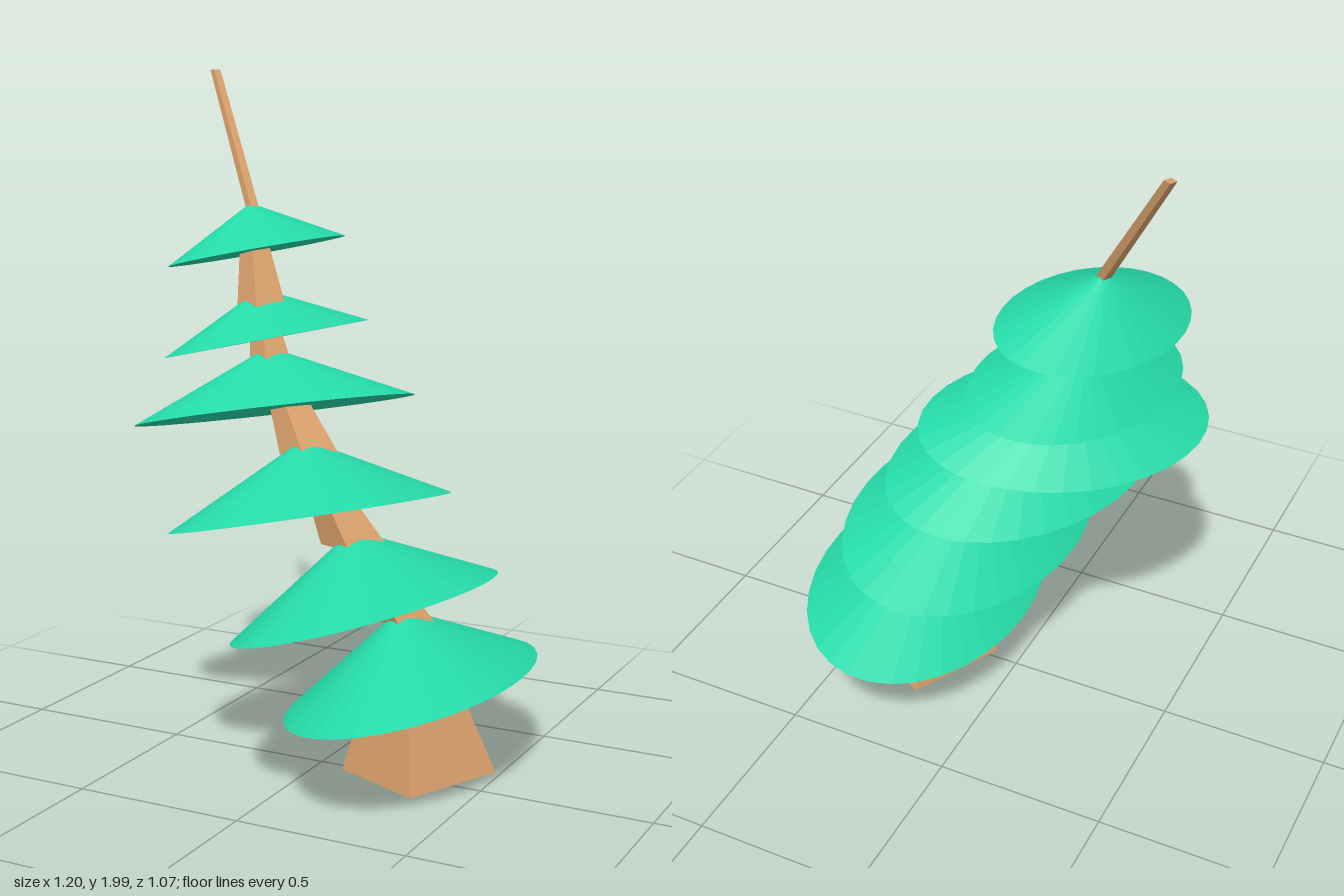
import * as THREE from 'three';

const vec = (a) => new THREE.Vector3(...a);

// Maps a unit-height geometry standing on y = 0 onto a slanted frame
function place(geometry, origin, u, axis, v) {
  geometry.translate(0, 0.5, 0);
  const m = new THREE.Matrix4().makeBasis(vec(u), axis, vec(v)).setPosition(origin);
  return geometry.applyMatrix4(m);
}

export function createModel() {
  const tree = new THREE.Group();
  tree.name = 'leaningTree';
  const wood = new THREE.MeshStandardMaterial({ color: 0xd9a06b, flatShading: true });
  const leaf = new THREE.MeshStandardMaterial({ color: 0x25d9a8, flatShading: true });

  const add = (name, geometry, material) => {
    const mesh = new THREE.Mesh(geometry, material);
    mesh.name = name;
    tree.add(mesh);
  };

  // Trunk: leaning square frustums [name, bottom centre, bottom width, top centre, top width]
  const trunk = [
    ['trunkBase', [0.29, 0.012, -0.042], 0.312, [0.262, 0.47, -0.03], 0.08],
    ['trunkSection', [0.25, 0.46, -0.02], 0.12, [0.125, 0.69, 0.035], 0.06],
    ['trunkSection', [0.12, 0.68, 0.04], 0.13, [-0.035, 0.935, 0.03], 0.05],
    ['trunkSection', [-0.03, 0.92, 0.02], 0.12, [-0.215, 1.17, -0.095], 0.05],
    ['trunkSection', [-0.215, 1.16, -0.09], 0.085, [-0.285, 1.335, -0.152], 0.045],
    ['trunkSection', [-0.265, 1.32, -0.125], 0.1, [-0.355, 1.58, -0.225], 0.04],
    ['topStick', [-0.345, 1.58, -0.225], 0.028, [-0.59, 1.998, -0.425], 0.022],
  ];
  for (const [name, bottom, wBottom, top, wTop] of trunk) {
    const geo = new THREE.CylinderGeometry(wTop * Math.SQRT1_2, wBottom * Math.SQRT1_2, 1, 4, 1, false, 0.325);
    const axis = vec(top).sub(vec(bottom));
    add(name, place(geo, vec(bottom), [1, 0.04, 0], axis, [0, 0, 1]), wood);
  }

  // Foliage: oval tilted cones [base centre, tip, cross radius, long radius]
  const foliage = [
    [[0.283, 0.277, -0.02], [0.25, 0.5, 0], [0.317, 0.057, 0], [0, 0, 0.513]],
    [[0.168, 0.507, 0.042], [0.118, 0.722, 0.045], [0.304, 0.081, 0], [-0.05, 0.008, 0.49]],
    [[0, 0.762, 0.052], [-0.042, 0.965, 0.03], [0.297, 0.062, 0], [-0.12, 0.021, 0.423]],
    [[-0.188, 1.02, -0.075], [-0.228, 1.2, -0.1], [0.306, 0.065, 0], [-0.163, 0.013, 0.342]],
    [[-0.252, 1.217, -0.148], [-0.288, 1.362, -0.16], [0.22, 0.05, 0], [-0.076, -0.008, 0.339]],
    [[-0.333, 1.465, -0.232], [-0.36, 1.606, -0.232], [0.194, 0.044, 0], [-0.065, -0.01, 0.296]],
  ];
  for (const [base, tip, u, v] of foliage) {
    const axis = vec(tip).sub(vec(base));
    add('foliageCone', place(new THREE.ConeGeometry(1, 1, 32), vec(base), u, axis, v), leaf);
  }
  return tree;
}
